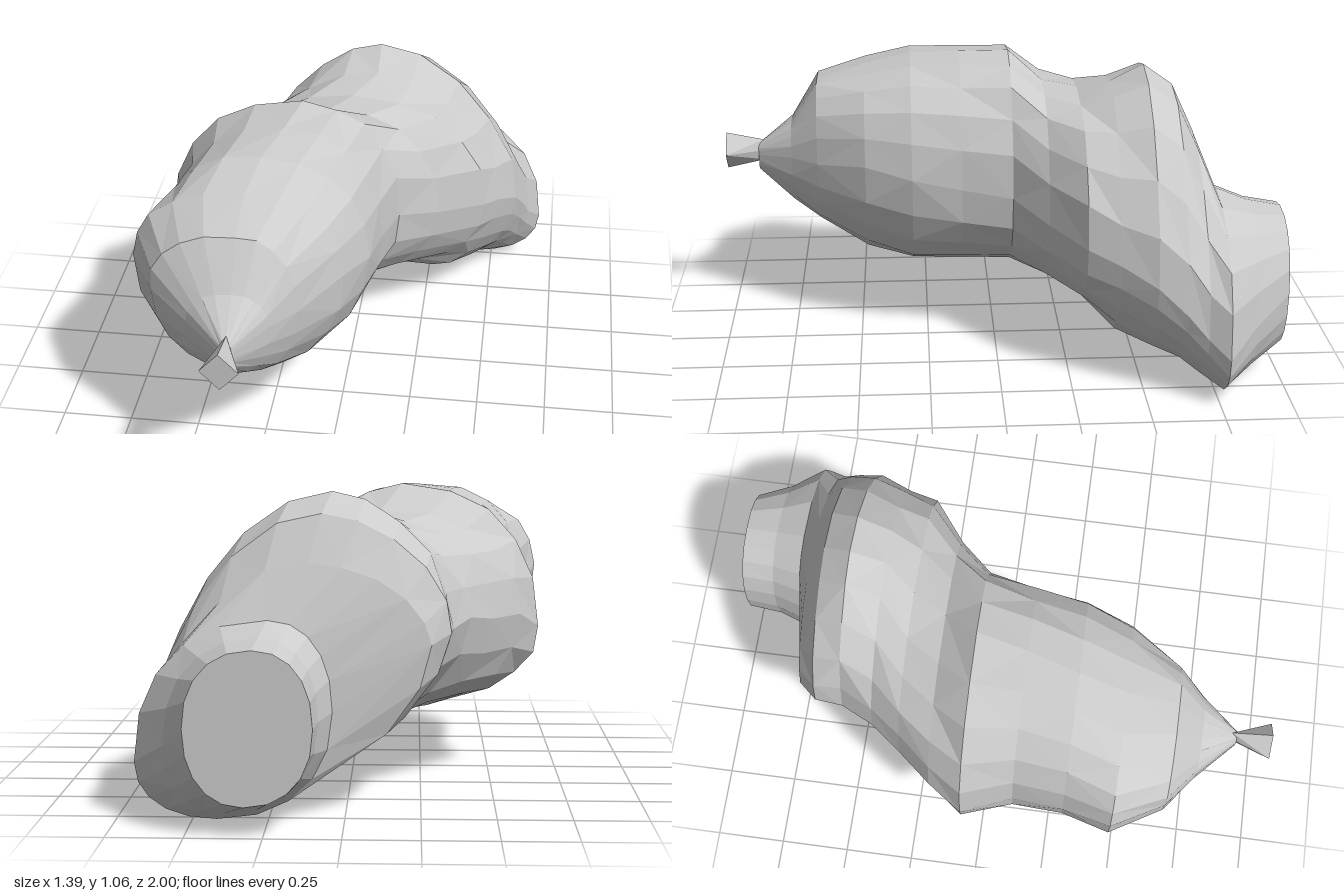
import * as THREE from 'three';

// Cross-sections along z, each given by its four extreme points:
// [z, leftmost x,y, rightmost x,y, lowest y,x, highest y,x]
const SECTIONS = [
  [-1.0, 0.09, 0.35, 0.5, 0.35, 0.1, 0.31, 0.6, 0.28],
  [-0.88, 0.08, 0.35, 0.58, 0.27, 0.05, 0.38, 0.62, 0.27],
  [-0.77, 0.04, 0.36, 0.69, 0.19, 0.0, 0.42, 0.66, 0.25],
  [-0.7, -0.28, 0.57, 0.65, 0.25, 0.04, 0.42, 0.84, 0.12],
  [-0.63, -0.35, 0.6, 0.62, 0.33, 0.09, 0.41, 0.99, 0.08],
  [-0.53, -0.36, 0.6, 0.59, 0.42, 0.12, 0.37, 1.06, 0.05],
  [-0.41, -0.42, 0.62, 0.53, 0.48, 0.15, 0.28, 1.0, 0.05],
  [-0.3, -0.5, 0.6, 0.47, 0.52, 0.24, 0.1, 0.96, -0.03],
  [-0.18, -0.6, 0.6, 0.31, 0.55, 0.25, -0.1, 0.97, -0.1],
  [-0.06, -0.68, 0.54, 0.17, 0.6, 0.26, -0.2, 1.05, -0.18],
  [0.12, -0.62, 0.6, 0.13, 0.62, 0.25, -0.25, 1.04, -0.22],
  [0.3, -0.64, 0.65, 0.1, 0.65, 0.235, -0.3, 1.03, -0.27],
  [0.47, -0.7, 0.71, 0.03, 0.68, 0.275, -0.3, 0.98, -0.3],
  [0.65, -0.6, 0.7, -0.1, 0.65, 0.38, -0.3, 0.93, -0.3],
  [0.75, -0.46, 0.65, -0.18, 0.65, 0.45, -0.3, 0.77, -0.3],
  [0.88, -0.32, 0.63, -0.28, 0.63, 0.57, -0.3, 0.67, -0.3],
];
const SIDES = 20;

// Joins rings of points into a closed skin with flat ends
function loft(rings) {
  const n = rings[0].length;
  const index = [];
  rings.slice(1).forEach((_, i) => {
    for (let j = 0; j < n; j++) {
      const k = (j + 1) % n;
      const a = i * n + j, b = i * n + k, c = b + n, d = a + n;
      if ((i + j) % 2) index.push(a, b, c, a, c, d);
      else index.push(a, b, d, b, c, d);
    }
  });
  const last = (rings.length - 1) * n;
  for (let j = 1; j < n - 1; j++) {
    index.push(0, j + 1, j, last, last + j, last + j + 1);
  }
  const geometry = new THREE.BufferGeometry().setFromPoints(rings.flat());
  geometry.setIndex(index);
  geometry.computeVertexNormals();
  return geometry;
}

// Lopsided oval: four quarter arcs that meet at the extreme points
function outline([z, x0, yLeft, x1, yRight, y0, xLow, y1, xHigh], jitter) {
  // The hump is leaner than the slightly squared rest
  const power = z > -0.75 && z < -0.35 ? 1.12 : 0.9;
  return Array.from({ length: SIDES }, (_, j) => {
    const t = (j / SIDES) * Math.PI * 2;
    const right = Math.cos(t) > 0, up = Math.sin(t) > 0;
    const cx = up ? xHigh : xLow, cy = right ? yRight : yLeft;
    const r = 1 + jitter();
    return new THREE.Vector3(
      cx + ((right ? x1 : x0) - cx) * Math.abs(Math.cos(t)) ** power * r,
      cy + ((up ? y1 : y0) - cy) * Math.abs(Math.sin(t)) ** power * r,
      z
    );
  });
}

export function createModel() {
  const group = new THREE.Group();
  const material = new THREE.MeshStandardMaterial({ color: 0xcccccc, flatShading: true });

  // Small repeatable unevenness for the lumpy skin
  let seed = 7;
  const jitter = () => {
    seed = (seed * 16807) % 2147483647;
    return (seed / 2147483647 - 0.5) * 0.03;
  };

  // Bent, lumpy body with a flat cut at the back
  const even = () => 0;
  const body = new THREE.Mesh(
    loft(SECTIONS.map((s) => outline(s, s[0] < -0.75 ? even : jitter))),
    material
  );
  body.name = 'body';
  group.add(body);

  // Flared four-sided nub at the front tip
  const diamond = (z, w, h) =>
    [[w, 0], [0, h], [-w, 0], [0, -h]].map(([x, y]) => new THREE.Vector3(-0.3 + x, 0.645 + y, z));
  const nub = new THREE.Mesh(loft([diamond(0.86, 0.01, 0.04), diamond(1, 0.065, 0.07)]), material);
  nub.name = 'frontNub';
  group.add(nub);

  return group;
}
